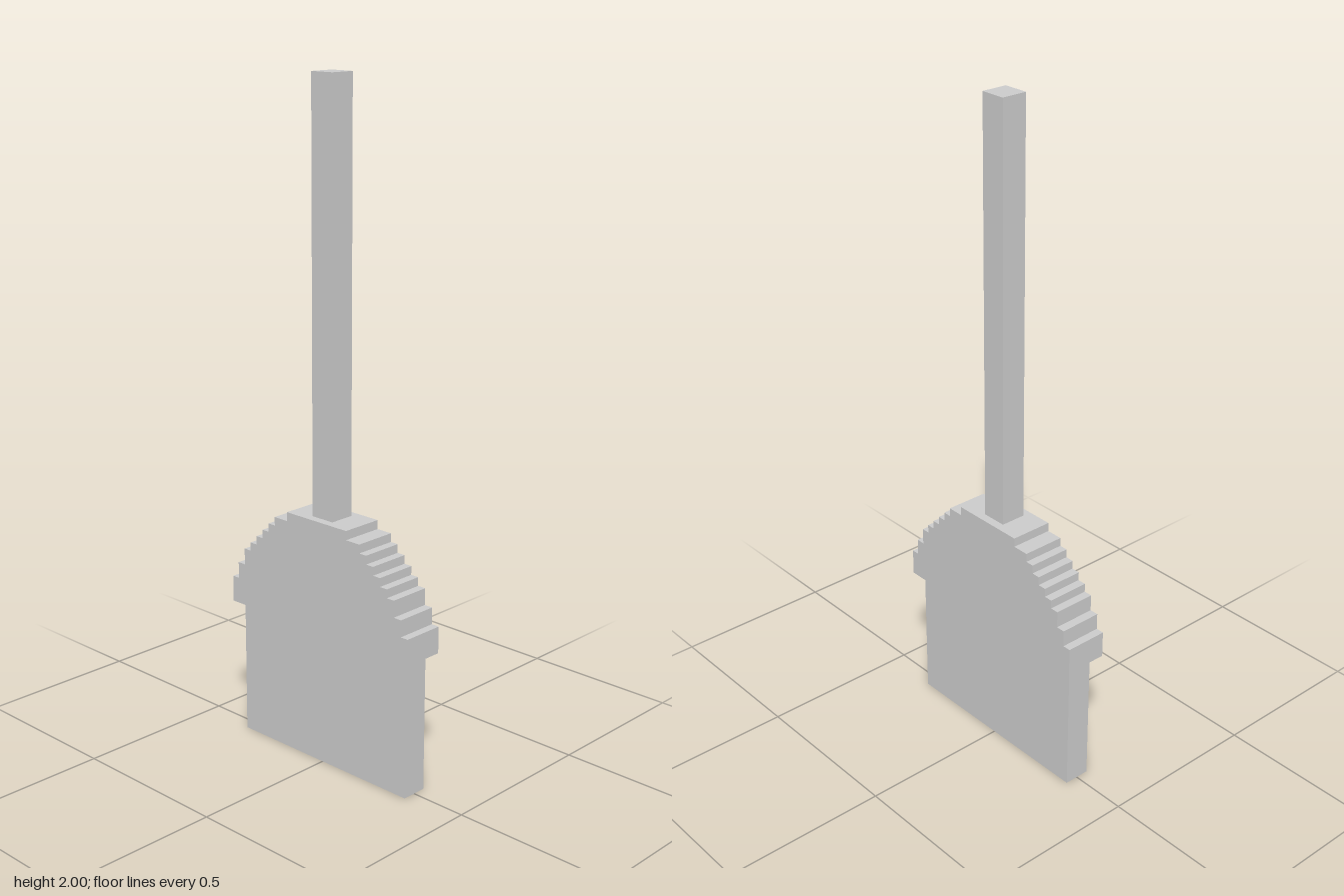
import * as THREE from 'three';

export function createModel() {
  const model = new THREE.Group();
  const material = new THREE.MeshStandardMaterial({ color: 0xcccccc, flatShading: true });

  const add = (name, geometry, y, z = 0) => {
    const mesh = new THREE.Mesh(geometry, material);
    mesh.name = name;
    mesh.position.set(0, y, z);
    model.add(mesh);
  };

  // Flat bristle block, standing on the floor
  add('bristles', new THREE.BoxGeometry(0.65, 0.42, 0.08), 0.21);

  // Stepped dome holding the bristles: [half width, top height] of each step
  const base = 0.42, depth = 0.13;
  const steps = [
    [0.35, 0.5], [0.325, 0.55], [0.298, 0.6], [0.272, 0.626], [0.246, 0.652],
    [0.22, 0.678], [0.194, 0.704], [0.168, 0.73], [0.117, 0.757],
  ];
  const right = [];
  let bottom = base;
  for (const [x, top] of steps) {
    right.push(new THREE.Vector2(x, bottom), new THREE.Vector2(x, top));
    bottom = top;
  }
  const left = right.map((p) => new THREE.Vector2(-p.x, p.y)).reverse();
  const dome = new THREE.ExtrudeGeometry(new THREE.Shape([...right, ...left]), {
    depth, bevelEnabled: false,
  });
  add('steppedHead', dome, 0, -depth / 2);

  // Square handle rising from the top of the head
  const handleBottom = 0.757;
  add('handle', new THREE.BoxGeometry(0.078, 2 - handleBottom, 0.078), (2 + handleBottom) / 2);

  return model;
}
